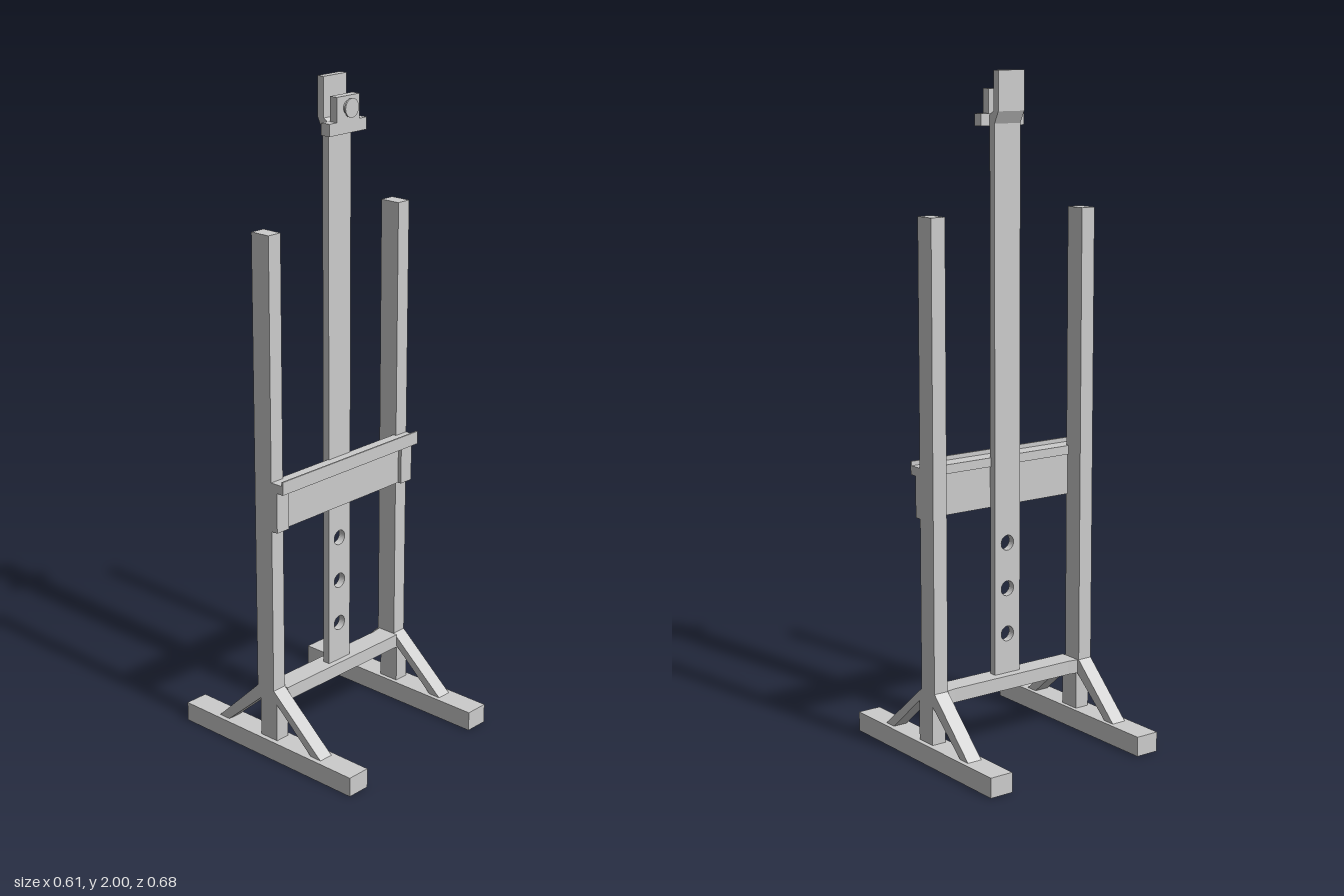
import * as THREE from 'three';

const material = new THREE.MeshStandardMaterial({ color: 0xcccccc, flatShading: true });
const smooth = new THREE.MeshStandardMaterial({ color: 0xcccccc });

function add(parent, name, geometry, mat = material) {
  const mesh = new THREE.Mesh(geometry, mat);
  mesh.name = name;
  parent.add(mesh);
  return mesh;
}

// Box given by its limits on each axis
function box(parent, name, [x0, x1], [y0, y1], [z0, z1]) {
  const g = new THREE.BoxGeometry(x1 - x0, y1 - y0, z1 - z0);
  g.translate((x0 + x1) / 2, (y0 + y1) / 2, (z0 + z1) / 2);
  return add(parent, name, g);
}

const polygon = (points) => new THREE.Shape(points.map(([a, b]) => new THREE.Vector2(a, b)));

// Side profile of [z, y] points, extruded from x0 to x1
function sideProfile(parent, name, points, [x0, x1]) {
  const g = new THREE.ExtrudeGeometry(polygon(points), { depth: x1 - x0, bevelEnabled: false });
  g.rotateY(-Math.PI / 2);
  g.translate(x1, 0, 0);
  return add(parent, name, g);
}

// Round part along z
function disc(parent, name, radius, y, z0, z1) {
  const g = new THREE.CylinderGeometry(radius, radius, z1 - z0, 32);
  g.rotateX(Math.PI / 2);
  g.translate(0, y, (z0 + z1) / 2);
  return add(parent, name, g, smooth);
}

export function createModel() {
  const easel = new THREE.Group();
  easel.name = 'easel';

  // Side frames: foot, upright and a pair of diagonal braces
  for (const [side, s] of [['left', 1], ['right', -1]]) {
    const frame = new THREE.Group();
    frame.name = side + 'Frame';
    easel.add(frame);
    const span = (a, b) => (s > 0 ? [a, b] : [-b, -a]);
    const x = span(0.245, 0.292);
    box(frame, 'foot', span(0.232, 0.307), [0, 0.06], [-0.34, 0.34]);
    box(frame, 'lowerPost', x, [0.06, 0.2], [-0.033, 0.033]);
    box(frame, 'upperPost', x, [0.2, 1.6], [-0.045, 0.021]);
    sideProfile(frame, 'frontBrace',
      [[0.021, 0.22], [0.021, 0.19], [0.033, 0.18], [0.17, 0.06], [0.21, 0.06], [0.033, 0.21]], x);
    sideProfile(frame, 'backBrace',
      [[-0.044, 0.22], [-0.21, 0.06], [-0.17, 0.06], [-0.033, 0.18], [-0.033, 0.22]], x);
  }

  // Lower crossbar, flaring slightly where it meets the posts
  const barShape = polygon([[-0.245, -0.033], [0.245, -0.033], [0.245, 0.04],
    [0.212, 0.035], [-0.212, 0.035], [-0.245, 0.04]]);
  const bar = new THREE.ExtrudeGeometry(barShape, { depth: 0.042, bevelEnabled: false });
  bar.rotateX(-Math.PI / 2);
  bar.translate(0, 0.176, 0);
  add(easel, 'crossbar', bar);

  // Central mast with peg holes
  const mastShape = polygon([[-0.046, 0.215], [0.046, 0.215], [0.046, 1.85], [-0.046, 1.85]]);
  for (const y of [0.34, 0.48, 0.62]) {
    const hole = new THREE.Path();
    hole.absarc(0, y, 0.023, 0, Math.PI * 2, true);
    mastShape.holes.push(hole);
  }
  const mast = new THREE.ExtrudeGeometry(mastShape, { depth: 0.023, bevelEnabled: false, curveSegments: 16 });
  mast.translate(0, 0, -0.008);
  add(easel, 'mast', mast);

  // Mast tip, stepping back above the clamp
  sideProfile(easel, 'mastTip', [[0.015, 1.85], [0.015, 1.875], [-0.003, 1.885], [-0.003, 2],
    [-0.026, 2], [-0.026, 1.885], [-0.008, 1.85]], [-0.046, 0.046]);

  // Top canvas clamp with its round knob
  const clamp = new THREE.Group();
  clamp.name = 'clamp';
  easel.add(clamp);
  box(clamp, 'clampLedge', [-0.076, 0.076], [1.843, 1.878], [0.015, 0.047]);
  box(clamp, 'clampBlock', [-0.046, 0.046], [1.878, 1.948], [0.02, 0.047]);
  disc(clamp, 'knobNeck', 0.02, 1.915, 0.047, 0.057);
  disc(clamp, 'knobCap', 0.027, 1.915, 0.057, 0.062);

  // Canvas tray: shelf with front lip, over a framed panel
  const tray = new THREE.Group();
  tray.name = 'tray';
  easel.add(tray);
  box(tray, 'backShelf', [-0.245, 0.245], [0.853, 0.88], [0.011, 0.021]);
  sideProfile(tray, 'shelf', [[0.021, 0.853], [0.067, 0.853], [0.067, 0.893], [0.062, 0.893],
    [0.062, 0.88], [0.021, 0.88]], [-0.292, 0.292]);
  box(tray, 'panel', [-0.245, 0.245], [0.73, 0.853], [0.015, 0.031]);
  box(tray, 'topRail', [-0.245, 0.245], [0.84, 0.853], [0.031, 0.043]);
  for (const x of [[0.245, 0.292], [-0.292, -0.245]]) {
    box(tray, 'endBlock', x, [0.73, 0.853], [0.021, 0.043]);
  }

  return easel;
}
